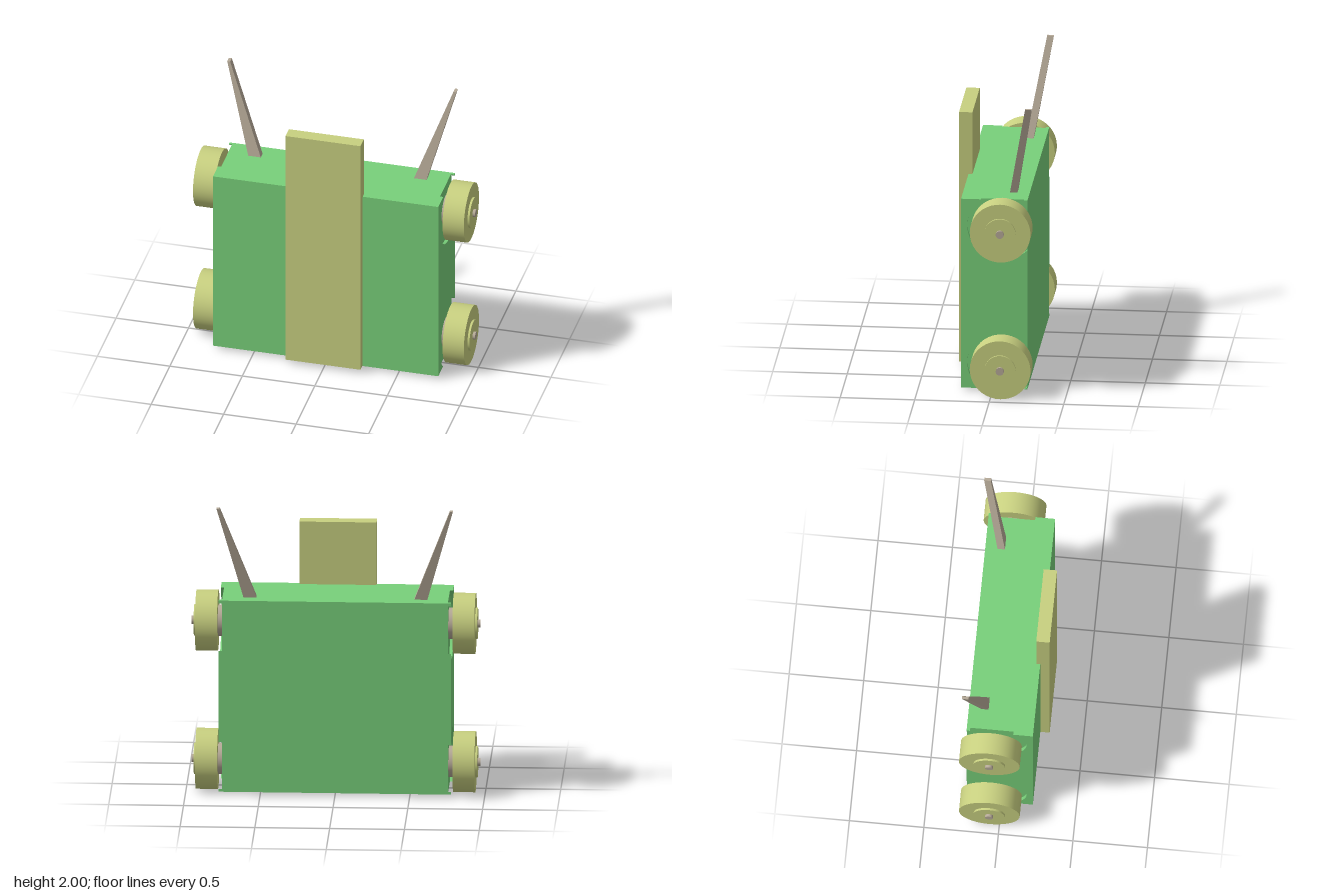
import * as THREE from 'three';

const green = new THREE.MeshStandardMaterial({ color: 0x78d07a, name: 'bodyGreen' });
const olive = new THREE.MeshStandardMaterial({ color: 0xc8d080, name: 'paleOlive' });
const tan = new THREE.MeshStandardMaterial({ color: 0xb6aa98, name: 'tan' });

// Body extents and wheel placement
const HALF = 0.777, LOW = 0.025, HIGH = 1.355, BACK = -0.235, FRONT = 0.21;
const WHEEL_Z = -0.067, WHEEL_Y = [1.17, 0.207], WELL_R = 0.235, WELL_DEPTH = 0.022;

function add(parent, name, geometry, material) {
  const mesh = new THREE.Mesh(geometry, material);
  mesh.name = name;
  parent.add(mesh);
  return mesh;
}

function box(x0, x1, y0, y1, z0, z1) {
  return new THREE.BoxGeometry(x1 - x0, y1 - y0, z1 - z0)
    .translate((x0 + x1) / 2, (y0 + y1) / 2, (z0 + z1) / 2);
}

// Cylinder along x from x0 to x1, centred on the wheel axis
function disc(radius, x0, x1) {
  return new THREE.CylinderGeometry(radius, radius, x1 - x0, 40)
    .rotateZ(-Math.PI / 2).translate((x0 + x1) / 2, 0, 0);
}

// Outline of a side skin (z, y) with the round wheel wells cut away,
// followed by the small corners left behind each well
function sideShapes() {
  const [topY, lowY] = WHEEL_Y;
  const db = BACK - WHEEL_Z;
  const backHalf = Math.sqrt(WELL_R ** 2 - db ** 2);
  const chord = (dy) => Math.sqrt(WELL_R ** 2 - dy ** 2);
  const topHalf = chord(HIGH - topY), lowHalf = chord(LOW - lowY);

  const main = new THREE.Shape();
  main.moveTo(FRONT, LOW);
  main.lineTo(FRONT, HIGH);
  main.lineTo(WHEEL_Z + topHalf, HIGH);
  main.absarc(WHEEL_Z, topY, WELL_R, Math.atan2(HIGH - topY, topHalf), Math.atan2(-backHalf, db), true);
  main.lineTo(BACK, lowY + backHalf);
  main.absarc(WHEEL_Z, lowY, WELL_R, Math.atan2(backHalf, db), Math.atan2(LOW - lowY, lowHalf), true);

  const corner = (y, half, wellY) => new THREE.Shape([
    new THREE.Vector2(WHEEL_Z - half, y),
    new THREE.Vector2(BACK, y),
    new THREE.Vector2(BACK, wellY),
  ]);
  return [main, corner(HIGH, topHalf, topY + backHalf), corner(LOW, lowHalf, lowY - backHalf)];
}

// Tapered, leaning bar: the top of a unit box is moved to the tip section
function antennaGeometry(side) {
  const g = new THREE.BoxGeometry(1, 1, 1);
  const p = g.attributes.position;
  for (let i = 0; i < p.count; i++) {
    const top = p.getY(i) > 0;
    const x = top ? 0.78 : 0.57, z = top ? -0.243 : -0.127;
    p.setXYZ(i,
      side * x + p.getX(i) * (top ? 0.02 : 0.087),
      top ? 2 : 1.35,
      z + p.getZ(i) * (top ? 0.045 : 0.05));
  }
  g.computeVertexNormals();
  return g;
}

export function createModel() {
  const model = new THREE.Group();
  model.name = 'wheeledBox';

  // Body core and the side skins holding the wheel wells
  const inner = HALF - WELL_DEPTH;
  add(model, 'body', box(-inner, inner, LOW, HIGH, BACK, FRONT), green);
  for (const side of [1, -1]) {
    const skin = new THREE.ExtrudeGeometry(sideShapes(), {
      depth: WELL_DEPTH, bevelEnabled: false, curveSegments: 32,
    }).rotateY(-Math.PI / 2).translate(side > 0 ? HALF : -inner, 0, 0);
    add(model, side > 0 ? 'leftSideSkin' : 'rightSideSkin', skin, green);
  }

  // Front board
  add(model, 'frontBoard', box(-0.26, 0.256, 0.033, 1.79, 0.183, 0.273), olive);

  // Wheels and antennas, mirrored left and right
  for (const side of [1, -1]) {
    const label = side > 0 ? 'left' : 'right';
    WHEEL_Y.forEach((y, i) => {
      const wheel = new THREE.Group();
      wheel.name = label + (i ? 'Lower' : 'Upper') + 'Wheel';
      add(wheel, 'spacer', disc(0.105, 0.75, 0.79), tan);
      add(wheel, 'tyre', disc(0.204, 0.787, 0.934), olive);
      add(wheel, 'hub', disc(0.105, 0.93, 0.948), olive);
      add(wheel, 'axle', disc(0.027, 0.94, 0.966), tan);
      wheel.position.set(0, y, WHEEL_Z);
      if (side < 0) wheel.rotation.y = Math.PI;
      model.add(wheel);
    });
    add(model, label + 'Antenna', antennaGeometry(side), tan);
  }
  return model;
}
